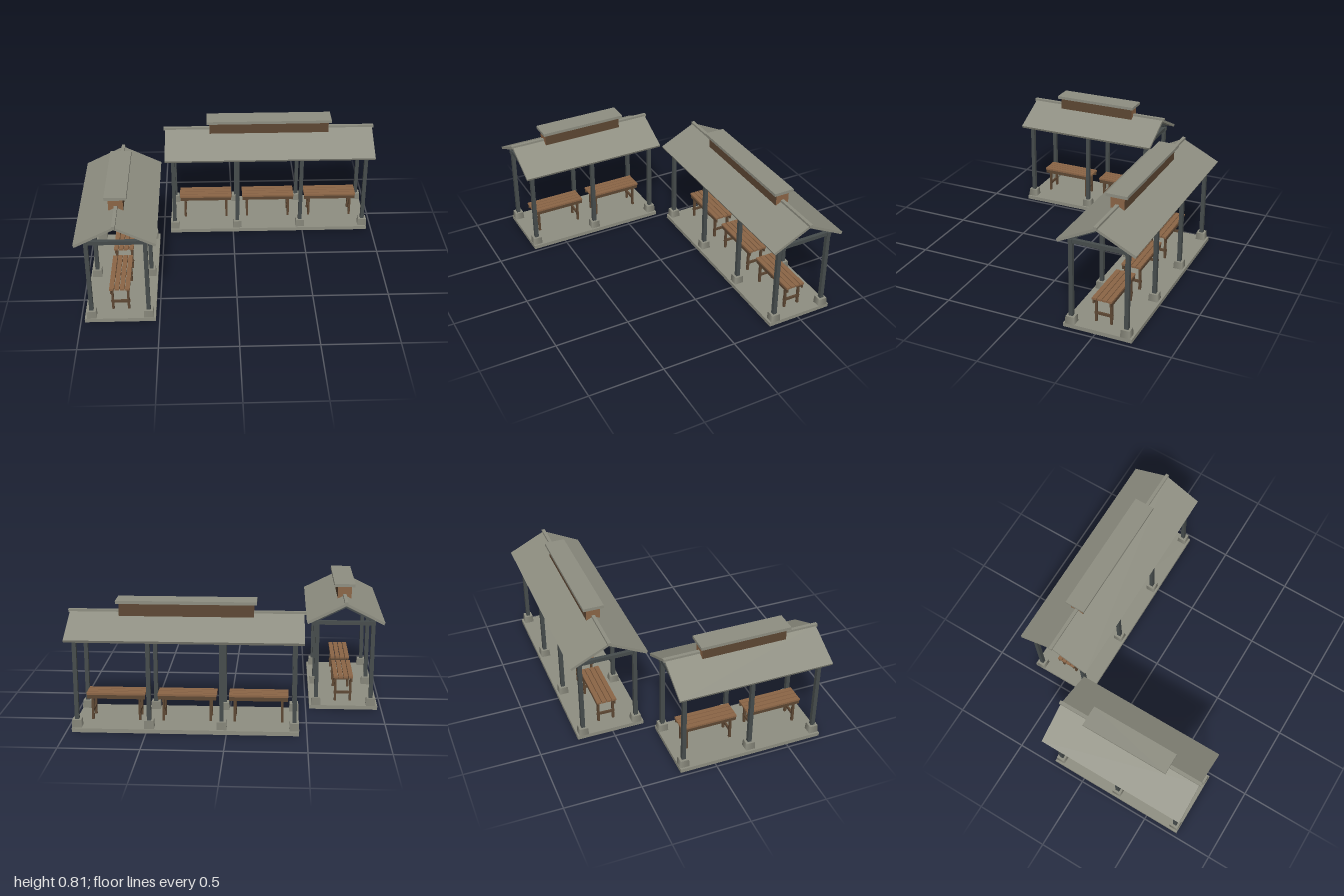
import * as THREE from 'three';

const mat = (name, color) => {
  const m = new THREE.MeshStandardMaterial({ color });
  m.name = name;
  return m;
};

export function createModel() {
  const stone = mat('weathered grey', 0x8e8e81);
  const metal = mat('dark steel', 0x464c4c);
  const wood = mat('light wood', 0x8b6546);
  const darkWood = mat('dark wood', 0x5d4733);

  function box(parent, name, material, w, h, d, x, y, z) {
    const m = new THREE.Mesh(new THREE.BoxGeometry(w, h, d), material);
    m.name = name;
    m.position.set(x, y, z);
    parent.add(m);
    return m;
  }

  // Slatted bench, long side along z
  function bench(z) {
    const g = new THREE.Group();
    g.name = 'bench';
    g.position.set(0, 0.025, z);
    for (let i = 0; i < 4; i++) {
      box(g, 'benchSlat', wood, 0.029, 0.013, 0.374, (i - 1.5) * 0.0337, 0.1735, 0);
    }
    for (const s of [-1, 1]) {
      box(g, 'benchApron', darkWood, 0.01, 0.026, 0.37, s * 0.056, 0.154, 0);
      box(g, 'benchStretcher', darkWood, 0.122, 0.016, 0.012, 0, 0.058, s * 0.15);
      box(g, 'benchTopRail', darkWood, 0.1, 0.01, 0.014, 0, 0.162, s * 0.15);
      for (const t of [-1, 1]) {
        box(g, 'benchLeg', darkWood, 0.015, 0.167, 0.015, s * 0.05, 0.0835, t * 0.15);
      }
    }
    return g;
  }

  // Open shelter with its ridge along z, built from a number of equal bays
  function shelter(name, bays, bay, slabLength, roofLength, lanternLength) {
    const g = new THREE.Group();
    g.name = name;
    box(g, 'floorSlab', stone, 0.45, 0.026, slabLength, 0, 0.013, 0);

    // Posts, footings and a roof truss at every bay line
    const footing = new THREE.CylinderGeometry(0.028 * Math.SQRT2, 0.031 * Math.SQRT2, 0.05, 4, 1);
    footing.rotateY(Math.PI / 4);
    for (let i = 0; i <= bays; i++) {
      const z = (i - bays / 2) * bay;
      for (const s of [-1, 1]) {
        const f = new THREE.Mesh(footing, stone);
        f.name = 'footing';
        f.position.set(s * 0.181, 0.051, z);
        g.add(f);
        box(g, 'post', metal, 0.026, 0.51, 0.026, s * 0.181, 0.326, z);
        const rafter = box(g, 'rafter', metal, 0.212, 0.02, 0.02, s * 0.095, 0.651, z);
        rafter.rotation.z = -s * Math.atan(0.5);
      }
      box(g, 'tieBeam', metal, 0.39, 0.025, 0.024, 0, 0.586, z);
    }
    for (const s of [-1, 1]) {
      box(g, 'eavesBeam', metal, 0.024, 0.025, bays * bay + 0.04, s * 0.181, 0.586, 0);
    }

    // Pitched roof as one folded sheet
    const shape = new THREE.Shape([
      [-0.2525, 0.603], [-0.245, 0.587], [0, 0.71], [0.245, 0.587], [0.2525, 0.603], [0, 0.729],
    ].map(([x, y]) => new THREE.Vector2(x, y)));
    const roof = new THREE.Mesh(
      new THREE.ExtrudeGeometry(shape, { depth: roofLength, bevelEnabled: false }), stone);
    roof.name = 'roof';
    roof.position.z = -roofLength / 2;
    g.add(roof);
    box(g, 'ridgeCap', stone, 0.022, 0.02, roofLength + 0.02, 0, 0.728, 0);

    // Ridge lantern: light ends, dark sides
    const lantern = box(g, 'lantern', wood, 0.092, 0.084, lanternLength, 0, 0.746, 0);
    lantern.material = [darkWood, darkWood, wood, wood, wood, wood];
    box(g, 'lanternRoof', stone, 0.138, 0.02, lanternLength + 0.036, 0, 0.798, 0);

    for (let i = 0; i < bays; i++) g.add(bench((i - (bays - 1) / 2) * bay));
    return g;
  }

  const model = new THREE.Group();
  model.name = 'picnicShelters';

  const small = shelter('smallShelter', 2, 0.45, 0.967, 1.012, 0.56);
  small.position.set(-0.749, 0, 0.25);
  model.add(small);

  const long = shelter('longShelter', 3, 0.452, 1.414, 1.463, 0.838);
  long.rotation.y = Math.PI / 2;
  long.position.set(0.257, 0, -0.512);
  model.add(long);
  return model;
}
